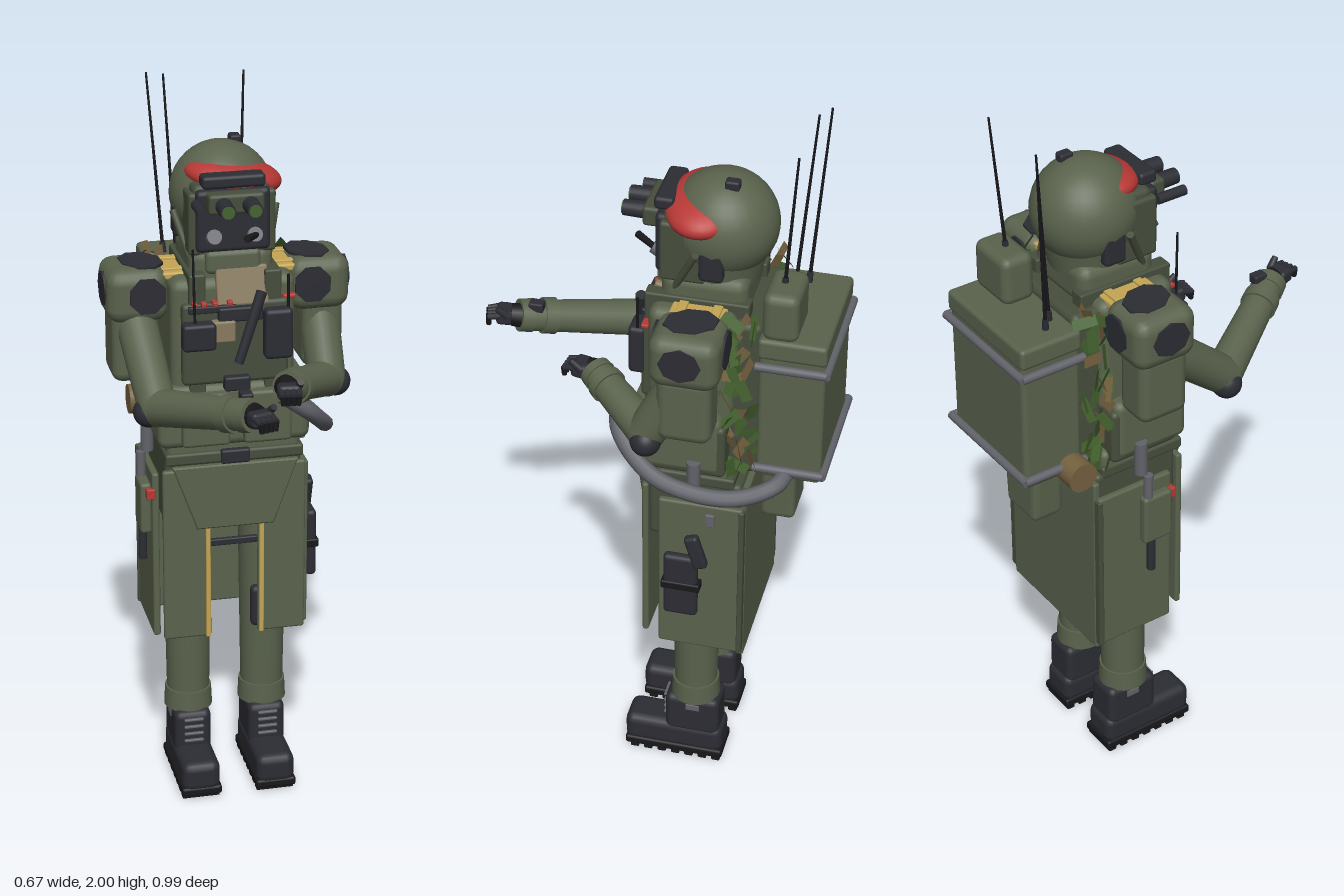
import * as THREE from 'three';
import { RoundedBoxGeometry } from 'three/addons/geometries/RoundedBoxGeometry.js';

const paint = (name, color) => Object.assign(new THREE.MeshStandardMaterial({ color }), { name });
const M = {
  olive: paint('olive', 0x5a634d), dark: paint('dark olive', 0x464e3c), coal: paint('charcoal', 0x2c2d34),
  black: paint('black', 0x18181b), red: paint('red', 0xb73835), gold: paint('ochre', 0xc6a655),
  grey: paint('grey', 0x62636a), tan: paint('tan', 0x8a7b5e), brown: paint('brown', 0x75613f),
  leaf: paint('leaf green', 0x45632f),
};
M.leaf.side = M.brown.side = THREE.DoubleSide;
const V = (p) => new THREE.Vector3(...p);

export function createModel() {
  const root = new THREE.Group();
  root.name = 'soldier';

  const add = (name, geo, mat, pos = [0, 0, 0], rot = [0, 0, 0], parent = root) => {
    const m = new THREE.Mesh(geo, mat);
    m.name = name;
    m.position.set(...pos);
    m.rotation.set(...rot);
    parent.add(m);
    return m;
  };
  // rounded box from its minimum and maximum corners
  const box = (name, mat, a, b, r = 0.012, rot, parent) => {
    const s = a.map((v, i) => b[i] - v);
    return add(name, new RoundedBoxGeometry(...s, 2, Math.min(r, Math.min(...s) * 0.45)), mat,
      a.map((v, i) => (v + b[i]) / 2), rot, parent);
  };
  // tapered rod between two points
  const rod = (name, mat, a, b, r1, r2 = r1, sides = 20, parent = root) => {
    const d = V(b).sub(V(a));
    const m = add(name, new THREE.CylinderGeometry(r2, r1, d.length(), sides), mat,
      V(a).add(V(b)).multiplyScalar(0.5).toArray(), [0, 0, 0], parent);
    m.quaternion.setFromUnitVectors(new THREE.Vector3(0, 1, 0), d.normalize());
    return m;
  };
  const ball = (name, mat, p, r, sc = [1, 1, 1], parent = root) => {
    const m = add(name, new THREE.SphereGeometry(r, 32, 20), mat, p, [0, 0, 0], parent);
    m.scale.set(...sc);
    return m;
  };
  const tube = (name, mat, pts, r, closed = false) => add(name,
    new THREE.TubeGeometry(new THREE.CatmullRomCurve3(pts.map(V), closed), 48, r, 10, closed), mat);
  const mir = (s, lo, hi) => (s > 0 ? [lo, hi] : [-hi, -lo]);
  // box that is mirrored to side s
  const sbox = (s, name, mat, x, y, z, r, parent) => {
    const [x0, x1] = mir(s, ...x);
    return box(name, mat, [x0, y[0], z[0]], [x1, y[1], z[1]], r, undefined, parent);
  };

  for (const s of [-1, 1]) {
    // legs and boots
    const leg = new THREE.Group();
    leg.name = s > 0 ? 'leftLeg' : 'rightLeg';
    root.add(leg);
    const x = s * 0.108, z = -0.138;
    rod('trouserLeg', M.olive, [x, 0.22, z], [x, 0.9, z], 0.06, 0.07, 24, leg);
    rod('trouserCuff', M.olive, [x, 0.215, z], [x, 0.275, z], 0.069, 0.066, 24, leg);
    sbox(s, 'kneePad', M.coal, [0.06, 0.158], [0.475, 0.6], [-0.09, -0.055], 0.015, leg);
    sbox(s, 'bootShaft', M.coal, [0.055, 0.161], [0.09, 0.22], [-0.215, -0.058], 0.02, leg);
    sbox(s, 'bootFoot', M.coal, [0.053, 0.163], [0.025, 0.115], [-0.225, 0.06], 0.025, leg);
    sbox(s, 'bootSole', M.black, [0.05, 0.166], [0.013, 0.04], [-0.228, 0.058], 0.008, leg);
    for (let i = 0; i < 7; i++)
      sbox(s, 'bootTread', M.black, [0.054, 0.162], [0, 0.016], [-0.222 + i * 0.04, -0.197 + i * 0.04], 0.004, leg);
    for (let i = 0; i < 4; i++)
      sbox(s, 'bootLace', M.grey, [0.08, 0.136], [0.128 + i * 0.022, 0.136 + i * 0.022], [-0.06, -0.05], 0.003, leg);
    sbox(s, 'bootTab', M.grey, [0.158, 0.164], [0.18, 0.2], [-0.16, -0.12], 0.002, leg);

    // armoured skirt panels
    sbox(s, 'frontPanel', M.olive, [0.066, 0.2], [0.49, 1.0], [-0.022, -0.004], 0.007);
    sbox(s, 'panelTrim', M.gold, [0.069, 0.082], [0.49, 0.84], [-0.012, 0.003], 0.003);
    sbox(s, 'sidePanel', M.olive, [0.2, 0.22], [0.48, 0.975], [-0.285, -0.055], 0.007);
    sbox(s, 'sidePanelEdge', M.dark, [0.195, 0.224], [0.48, 0.97], [-0.29, -0.275], 0.004);

    // shoulder pads with dark octagonal inserts
    sbox(s, 'shoulderPad', M.olive, [0.165, 0.332], [1.41, 1.56], [-0.235, -0.05], 0.04);
    const octagon = (name, r, pos, rot, sc) => {
      const m = add(name, new THREE.CylinderGeometry(r, r, 0.008, 8), M.coal, pos, rot);
      m.scale.set(...sc);
    };
    octagon('padTopInsert', 0.072, [s * 0.228, 1.559, -0.143], [0, Math.PI / 8, 0], [0.78, 1, 1]);
    octagon('padSideInsert', 0.056, [s * 0.331, 1.493, -0.138], [0, 0, Math.PI / 2], [0.85, 1, 1]);
    octagon('padFrontInsert', 0.052, [s * 0.225, 1.49, -0.051], [Math.PI / 2, Math.PI / 8, 0], [1, 1, 1]);
    octagon('padBackInsert', 0.052, [s * 0.225, 1.49, -0.234], [Math.PI / 2, Math.PI / 8, 0], [1, 1, 1]);
    sbox(s, 'shoulderStrap', M.gold, [0.1, 0.2], [1.525, 1.545], [-0.215, -0.07], 0.006);
    for (const zz of [-0.19, -0.1])
      sbox(s, 'strapRib', M.gold, [0.11, 0.18], [1.54, 1.552], [zz - 0.012, zz + 0.012], 0.003);
    sbox(s, 'upperArmPlate', M.olive, [0.205, 0.318], [1.24, 1.44], [-0.215, -0.07], 0.028);

    // torso sides
    sbox(s, 'hipPouch', M.dark, [0.14, 0.205], [1.06, 1.22], [-0.23, -0.03], 0.015);
    rod('waistCanister', M.grey, [s * 0.215, 1.01, -0.15], [s * 0.215, 1.11, -0.15], 0.018);
    sbox(s, 'chestPouch', M.olive, [0.02, 0.15], [1.08, 1.23], [0.0, 0.035], 0.01);
    sbox(s, 'harnessStrap', M.dark, [0.08, 0.125], [1.22, 1.56], [-0.27, 0.006], 0.006);

    // side of the head
    sbox(s, 'earCover', M.coal, [0.1, 0.135], [1.62, 1.76], [-0.2, -0.135], 0.012);
    sbox(s, 'cheekGuard', M.dark, [0.085, 0.118], [1.6, 1.77], [-0.15, -0.03], 0.01);
    rod('chinStrap', M.dark, [s * 0.14, 1.7, -0.13], [s * 0.1, 1.56, -0.06], 0.01);
  }

  // remaining skirt, flap and waist
  box('backPanel', M.olive, [-0.205, 0.46, -0.292], [0.205, 1.02, -0.272], 0.007);
  box('pelvis', M.dark, [-0.19, 0.83, -0.275], [0.19, 1.03, -0.02], 0.015);
  const flap = new THREE.Shape([[-0.17, 1.01], [-0.105, 0.83], [0.105, 0.83], [0.17, 1.01]].map((p) => new THREE.Vector2(...p)));
  add('frontFlap', new THREE.ExtrudeGeometry(flap, { depth: 0.012, bevelSize: 0.004, bevelThickness: 0.004, bevelSegments: 1 }),
    M.olive, [0, 0, -0.006]);
  box('thighStrap', M.coal, [-0.075, 0.745, -0.06], [0.075, 0.765, -0.045], 0.004);
  box('waist', M.olive, [-0.185, 1.0, -0.25], [0.185, 1.09, -0.01], 0.02);
  box('belt', M.dark, [-0.192, 1.015, -0.255], [0.192, 1.05, 0.0], 0.008);
  box('beltBuckle', M.coal, [-0.04, 1.015, -0.01], [0.04, 1.055, 0.012], 0.006);

  // torso
  box('upperTorso', M.olive, [-0.17, 1.2, -0.24], [0.17, 1.54, -0.01], 0.03);
  box('lowerTorso', M.olive, [-0.21, 1.065, -0.22], [0.21, 1.245, 0.005], 0.025);
  box('chestPlate', M.dark, [-0.145, 1.25, -0.03], [0.145, 1.48, 0.012], 0.012);
  box('collar', M.olive, [-0.115, 1.5, -0.26], [0.115, 1.62, -0.03], 0.035);
  box('chestBuckle', M.coal, [-0.035, 1.235, 0.0], [0.035, 1.275, 0.035], 0.006);

  // chest equipment
  box('mapCase', M.tan, [-0.05, 1.465, -0.025], [0.09, 1.57, 0.0], 0.006, [-0.25, 0, 0]);
  box('chestShelf', M.coal, [-0.05, 1.43, -0.01], [0.07, 1.47, 0.03], 0.006);
  box('smallCase', M.tan, [-0.07, 1.375, 0.005], [-0.005, 1.435, 0.035], 0.006);
  box('radio', M.coal, [-0.15, 1.36, 0.005], [-0.06, 1.435, 0.05], 0.01);
  rod('radioAntenna', M.black, [-0.115, 1.42, 0.03], [-0.12, 1.64, 0.03], 0.004, 0.003, 8);
  box('chestHandset', M.coal, [0.073, 1.32, 0.0], [0.15, 1.46, 0.045], 0.012);
  rod('handsetAntenna', M.black, [0.14, 1.44, 0.02], [0.14, 1.55, 0.02], 0.004, 0.004, 8);
  rod('flashlight', M.coal, [0.0, 1.32, 0.045], [0.065, 1.51, 0.03], 0.013, 0.015, 12);
  for (const x of [-0.12, -0.095, -0.065, -0.025]) box('redMarker', M.red, [x, 1.475, -0.005], [x + 0.014, 1.487, 0.025], 0.003);
  box('redTag', M.red, [0.13, 1.475, -0.015], [0.165, 1.487, 0.005], 0.004);
  box('markerRail', M.coal, [-0.13, 1.455, -0.01], [0, 1.475, 0.02], 0.004);

  // head and helmet
  const head = new THREE.Group();
  head.name = 'head';
  root.add(head);
  rod('headBase', M.olive, [0, 1.58, -0.165], [0, 1.73, -0.17], 0.105, 0.132, 32, head);
  ball('helmet', M.olive, [0, 1.728, -0.172], 0.14, [1, 1.01, 1.03], head);
  ball('redCap', M.red, [0.022, 1.785, -0.128], 0.13, [1.02, 0.38, 0.79], head).rotation.z = -0.16;
  box('face', M.dark, [-0.105, 1.57, -0.16], [0.105, 1.79, -0.035], 0.02, undefined, head);
  box('visor', M.coal, [-0.1, 1.61, -0.05], [0.1, 1.78, -0.014], 0.014, undefined, head);
  box('visorBrow', M.coal, [-0.085, 1.785, -0.06], [0.085, 1.82, -0.008], 0.01, undefined, head);
  box('goggleHousing', M.dark, [-0.075, 1.725, -0.02], [0.075, 1.78, 0.025], 0.01, undefined, head);
  for (const s of [-1, 1]) {
    rod('goggleTube', M.coal, [s * 0.036, 1.75, 0.01], [s * 0.036, 1.75, 0.082], 0.023, 0.021, 20, head);
    rod('goggleLens', M.leaf, [s * 0.036, 1.75, 0.08], [s * 0.036, 1.75, 0.085], 0.017, 0.017, 20, head);
    rod('visorFilter', M.grey, [s * 0.055, 1.65, -0.02], [s * 0.055, 1.66, 0.0], 0.022, 0.02, 16, head);
  }
  rod('sideLamp', M.coal, [-0.1, 1.745, -0.02], [-0.1, 1.745, 0.065], 0.014, 0.014, 12, head);
  rod('microphone', M.black, [0.09, 1.65, -0.05], [0.02, 1.665, 0.05], 0.007, 0.01, 8, head);
  box('helmetLight', M.coal, [0.028, 1.85, -0.222], [0.058, 1.876, -0.184], 0.006, undefined, head);
  box('mouthGuard', M.olive, [-0.075, 1.55, -0.05], [0.075, 1.615, -0.012], 0.015, undefined, head);

  // arms with gloved hands
  const arm = (name, shoulder, elbow, wrist, tip) => {
    const g = new THREE.Group();
    g.name = name;
    root.add(g);
    const at = (t) => V(elbow).lerp(V(wrist), t).toArray();
    rod('upperArm', M.olive, shoulder, elbow, 0.056, 0.052, 24, g);
    ball('elbow', M.olive, elbow, 0.052, [1, 1, 1], g);
    const out = [elbow[0] * 1.1, elbow[1] - 0.012, elbow[2] - 0.004];
    ball('elbowPad', M.coal, out, 0.041, [1, 1, 1], g);
    rod('forearm', M.olive, elbow, wrist, 0.051, 0.041, 24, g);
    rod('sleeveBand', M.olive, at(0.72), at(0.82), 0.05, 0.049, 24, g);
    rod('sleeveCuff', M.olive, at(0.9), wrist, 0.046, 0.044, 24, g);
    const hand = new THREE.Group();
    hand.name = 'glove';
    hand.position.set(...wrist);
    hand.lookAt(...tip);
    g.add(hand);
    rod('gloveCuff', M.black, [0, 0, -0.01], [0, 0, 0.02], 0.034, 0.031, 16, hand);
    box('palm', M.coal, [-0.032, -0.02, 0.015], [0.032, 0.022, 0.06], 0.012, undefined, hand);
    for (let i = 0; i < 4; i++) {
      const x = -0.024 + i * 0.016;
      rod('finger', M.coal, [x, 0.008, 0.05], [x * 0.9, 0.0, 0.082], 0.009, 0.008, 10, hand);
      rod('fingerTip', M.black, [x * 0.9, 0.0, 0.08], [x * 0.8, -0.024, 0.078], 0.008, 0.007, 10, hand);
    }
    rod('thumb', M.coal, [0.025, 0.01, 0.03], [0.028, 0.032, 0.06], 0.011, 0.009, 10, hand);
    return g;
  };
  arm('leftArm', [0.258, 1.42, -0.14], [0.262, 1.225, -0.035], [0.108, 1.28, 0.145], [0.1, 1.285, 0.22]);
  const right = arm('rightArm', [-0.25, 1.42, -0.12], [-0.232, 1.235, 0.1], [-0.042, 1.315, 0.4], [-0.02, 1.325, 0.48]);
  box('wristDevice', M.coal, [-0.066, 1.335, 0.33], [-0.034, 1.362, 0.37], 0.005, undefined, right);

  // backpack
  box('backpack', M.olive, [-0.172, 1.065, -0.48], [0.172, 1.5, -0.305], 0.015);
  box('backpackLid', M.olive, [-0.178, 1.44, -0.484], [0.178, 1.5, -0.303], 0.012);
  box('packTopModule', M.olive, [0.02, 1.49, -0.405], [0.172, 1.63, -0.31], 0.025);
  const lower = box('packLowerModule', M.olive, [-0.075, 0.85, -0.395], [0.075, 1.08, -0.3], 0.018);
  const p = lower.geometry.attributes.position;
  for (let i = 0; i < p.count; i++) p.setX(i, p.getX(i) * (1 + 0.8 * p.getY(i)));
  lower.geometry.computeVertexNormals();
  for (const y of [1.1, 1.42]) {
    for (const x of [-0.18, 0.18]) rod('packFrameSide', M.grey, [x, y, -0.3], [x, y, -0.487], 0.012);
    rod('packFrameBack', M.grey, [-0.185, y, -0.484], [0.185, y, -0.484], 0.012);
  }
  rod('bedroll', M.brown, [-0.232, 1.085, -0.342], [0.1, 1.085, -0.342], 0.042, 0.042, 24);
  for (const [a, b] of [[[-0.12, 1.5, -0.375], [-0.155, 2, -0.41]], [[-0.09, 1.5, -0.345], [-0.113, 2, -0.385]],
    [[0.093, 1.62, -0.353], [0.108, 2, -0.38]]]) {
    rod('antenna', M.black, a, b, 0.005, 0.003, 8);
    rod('antennaBase', M.coal, a, V(a).lerp(V(b), 0.06).toArray(), 0.009, 0.008, 10);
  }
  tube('airHose', M.grey, [[0.11, 1.23, 0.07], [0.19, 1.17, 0.06], [0.26, 1.09, -0.04], [0.275, 1.055, -0.16],
    [0.26, 1.05, -0.28], [0.215, 1.075, -0.37], [0.16, 1.09, -0.39]], 0.023);

  // holster on the left hip
  box('holster', M.coal, [0.222, 0.61, -0.17], [0.252, 0.81, -0.075], 0.012);
  box('holsterStrap', M.black, [0.22, 0.7, -0.178], [0.257, 0.725, -0.07], 0.005);
  box('pistolGrip', M.coal, [0.228, 0.78, -0.185], [0.256, 0.885, -0.145], 0.01, [0.3, 0, 0]);
  box('panelClip', M.grey, [0.218, 0.91, -0.21], [0.228, 0.95, -0.185], 0.003);

  // pouch and tools on the right hip
  box('toolPouch', M.olive, [-0.25, 0.79, -0.16], [-0.218, 0.94, -0.07], 0.01);
  box('toolTag', M.red, [-0.236, 0.9, -0.072], [-0.212, 0.93, -0.05], 0.003);
  rod('toolHandle', M.grey, [-0.235, 0.93, -0.14], [-0.235, 1.01, -0.14], 0.013);
  rod('toolStick', M.coal, [-0.235, 0.69, -0.13], [-0.235, 0.8, -0.13], 0.012);

  // camouflage scraps between torso and pack
  let seed = 7;
  const rnd = (a, b) => a + (b - a) * ((seed = (seed * 16807) % 2147483647) / 2147483647);
  box('netBacking', M.dark, [-0.15, 1.05, -0.31], [0.15, 1.52, -0.22], 0.02);
  const scrap = new THREE.PlaneGeometry(0.028, 0.065);
  for (let i = 0; i < 84; i++) {
    add('camouflageScrap', scrap, i % 3 ? M.leaf : M.brown,
      [(i % 2 ? 1 : -1) * rnd(0.15, 0.2), rnd(1.07, 1.56), rnd(-0.3, -0.22)], [rnd(-0.8, 0.8), rnd(0, 3.1), rnd(-0.8, 0.8)]);
  }
  return root;
}
